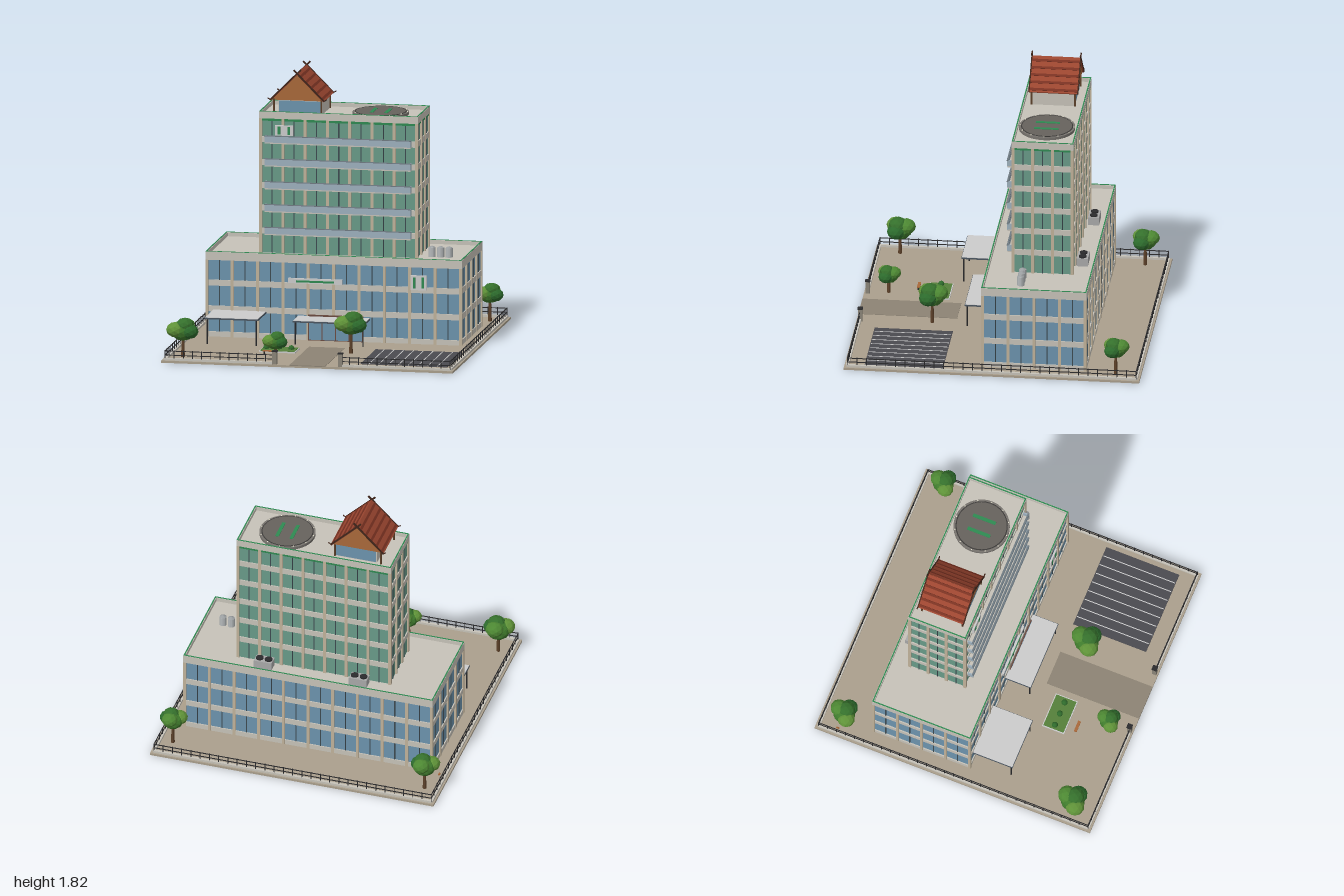
import * as THREE from 'three';

const C = { grey: 0xcccccc, wall: 0xc6c2b8, tan: 0xc0b29a, ground: 0xaa9f8c, drive: 0x8c8374, asphalt: 0x4a4a50, blue: 0x6c93ad,
  teal: 0x689a88, balcony: 0x9db0bd, green: 0x2f8a52, dark: 0x2a2a2c, roof: 0x9c4630, rib: 0x7a3222, wood: 0xa8683a, trunk: 0x5c4029 };
const mats = {};
const mat = (c) => (mats[c] ??= new THREE.MeshStandardMaterial({ color: c, flatShading: true }));

function add(parent, name, geo, color, x = 0, y = 0, z = 0) {
  const m = new THREE.Mesh(geo, mat(color));
  m.name = name;
  m.position.set(x, y, z);
  parent.add(m);
  return m;
}
// Box given by its limits on each axis
function box(parent, name, [x0, x1], [y0, y1], [z0, z1], color) {
  return add(parent, name, new THREE.BoxGeometry(x1 - x0, y1 - y0, z1 - z0), color, (x0 + x1) / 2, (y0 + y1) / 2, (z0 + z1) / 2);
}
const around = (c, w) => [c - w / 2, c + w / 2];
function group(parent, name) {
  const g = new THREE.Group();
  g.name = name;
  parent.add(g);
  return g;
}
// Thin rod between two points
function rod(parent, name, a, b, r, color) {
  const p = new THREE.Vector3(...a), q = new THREE.Vector3(...b), d = q.clone().sub(p);
  const m = add(parent, name, new THREE.CylinderGeometry(r, r, d.length(), 6), color);
  m.position.copy(p).add(q).multiplyScalar(0.5);
  m.quaternion.setFromUnitVectors(new THREE.Vector3(0, 1, 0), d.normalize());
}
// Four bars forming a rectangular ring
function ring(parent, name, [x0, x1], y, [z0, z1], t, color) {
  box(parent, name, [x0, x1], y, [z0, z0 + t], color);
  box(parent, name, [x0, x1], y, [z1 - t, z1], color);
  box(parent, name, [x0, x0 + t], y, [z0 + t, z1 - t], color);
  box(parent, name, [x1 - t, x1], y, [z0 + t, z1 - t], color);
}

// Glazed block with floor bands, columns, mullions and a parapet roof
function block(parent, name, [x0, x1], [y0, y1], [z0, z1], bands, nx, nz, glass, parapet) {
  const g = group(parent, name), i = 0.012;
  box(g, 'glazing', [x0 + i, x1 - i], [y0, y1 - 0.04], [z0 + i, z1 - i], glass);
  for (const y of bands) box(g, 'floorBand', [x0 + 0.004, x1 - 0.004], around(y, 0.04), [z0 + 0.004, z1 - 0.004], C.wall);
  const bars = (n, step, w, h, inset, color, label) => {
    for (let k = 0; k <= n; k += step) {
      if (label === 'mullion' && k % 2 === 0) continue;
      const x = x0 + 0.01 + ((x1 - x0 - 0.02) * k) / (2 * nx);
      if (k <= 2 * nx) for (const z of [z0 + 0.01, z1 - 0.01])
        box(g, label, around(x, w), h, around(z + (z === z0 + 0.01 ? inset : -inset), 0.02), color);
      const z = z0 + 0.01 + ((z1 - z0 - 0.02) * k) / (2 * nz);
      if (k <= 2 * nz) for (const xx of [x0 + 0.01, x1 - 0.01])
        box(g, label, around(xx + (xx === x0 + 0.01 ? inset : -inset), 0.02), h, around(z, w), color);
    }
  };
  bars(2 * Math.max(nx, nz), 2, 0.02, [y0, parapet], 0, C.tan, 'column');
  bars(2 * Math.max(nx, nz), 1, 0.006, [y0, parapet], 0.007, 0x3d4a50, 'mullion');
  box(g, 'roofDeck', [x0 + 0.005, x1 - 0.005], [parapet, y1 - 0.03], [z0 + 0.005, z1 - 0.005], C.wall);
  ring(g, 'parapet', [x0, x1], [parapet, y1 - 0.003], [z0, z1], 0.014, C.wall);
  ring(g, 'parapetTrim', [x0 + 0.002, x1 - 0.002], [y1 - 0.004, y1], [z0 + 0.002, z1 - 0.002], 0.008, C.green);
  return g;
}

function tree(parent, x, z, s, top) {
  const g = group(parent, 'tree');
  g.position.set(x, 0, z);
  add(g, 'trunk', new THREE.CylinderGeometry(0.009, 0.014, 0.15, 7), C.trunk, 0, 0.075, 0);
  const blobs = [[0, -0.085, 0, 0.078, 0x3f7a2c], [-0.04, -0.075, 0.03, 0.06, 0x5f9238], [0.045, -0.085, 0.02, 0.058, 0x2c6a2c],
    [0.01, -0.06, -0.04, 0.06, 0x4d8833], [0.015, -0.05, 0.01, 0.06, 0x35702c]];
  for (const [bx, by, bz, r, c] of blobs) {
    const m = add(g, 'foliage', new THREE.IcosahedronGeometry(r * s, 1), c, bx * s, top + by * s, bz * s);
    m.scale.y = 0.82;
  }
}

function canopy(parent, name, [x0, x1], [z0, z1], y) {
  const g = group(parent, name);
  box(g, 'canopySlab', [x0, x1], [y - 0.012, y], [z0, z1], C.grey);
  ring(g, 'canopyEdge', [x0 - 0.003, x1 + 0.003], [y - 0.013, y - 0.003], [z0, z1 + 0.003], 0.005, 0x4a5560);
  for (const x of [x0 + 0.012, x1 - 0.012]) rod(g, 'canopyPost', [x, 0.015, z1 - 0.012], [x, y - 0.01, z1 - 0.012], 0.005, C.dark);
}

function pavilion(parent) {
  const g = group(parent, 'roofPavilion'), cx = -0.293, z0 = -0.46, z1 = -0.13, half = 0.185, eave = 1.61, apex = 1.795;
  box(g, 'pavilionWalls', [-0.425, -0.13], [1.5, eave], [-0.435, -0.15], C.wall);
  for (const z of [-0.435, -0.15]) box(g, 'pavilionGlass', [-0.42, -0.135], [1.515, 1.605], around(z, 0.006), C.blue);
  for (const x of [-0.455, -0.13]) for (const z of [-0.44, -0.145]) box(g, 'pavilionPost', around(x, 0.011), [1.5, 1.62], around(z, 0.011), C.trunk);
  // Timber gable body under the tiles
  const s = new THREE.Shape([[-half + 0.01, eave], [half - 0.01, eave], [0, apex - 0.008]].map((p) => new THREE.Vector2(...p)));
  add(g, 'gable', new THREE.ExtrudeGeometry(s, { depth: z1 - z0 - 0.02, bevelEnabled: false }), C.wood, cx, 0, z0 + 0.01);
  const len = Math.hypot(half, apex - eave), tilt = Math.atan2(apex - eave, half);
  for (const side of [-1, 1]) {
    const slope = group(g, 'roofSlope');
    slope.position.set(cx, apex, 0);
    slope.rotation.z = -side * tilt;
    box(slope, 'roofTiles', side > 0 ? [0, len] : [-len, 0], [-0.008, 0.002], [z0, z1], C.roof);
    for (let k = 0; k < 5; k++) box(slope, 'roofRib', around(side * len * (k + 0.6) / 5, 0.017), [0, 0.006], [z0, z1], C.rib);
    // Barge boards, crossed apex finials and upturned eave tips
    for (const z of [z0, z1]) {
      box(slope, 'bargeBoard', side > 0 ? [-0.035, len] : [-len, 0.035], [-0.005, 0.006], around(z, 0.008), 0x40251a);
      const ex = cx + side * half;
      rod(g, 'eaveTip', [ex - side * 0.004, eave, z], [ex + side * 0.018, eave + 0.014, z], 0.004, 0x40251a);
    }
  }
}

// Vertical double-bar plaque facing forward
function plaque(parent, x, y, z, w, h) {
  const g = group(parent, 'wallSign');
  box(g, 'signPanel', around(x, w), around(y, h), around(z, 0.012), C.grey);
  for (const s of [-1, 1]) box(g, 'signBar', around(x + s * w * 0.27, w * 0.15), around(y, h * 0.75), around(z + 0.006, 0.006), C.green);
}

export function createModel() {
  const root = new THREE.Group();
  root.name = 'hospital';

  // Grounds
  const site = group(root, 'grounds');
  box(site, 'groundSlab', [-1, 1], [0, 0.015], [-1, 1], C.ground);
  box(site, 'driveway', [-0.12, 0.125], [0.012, 0.018], [0.33, 1], C.drive);
  box(site, 'parkingLot', [0.34, 0.935], [0.012, 0.019], [0.335, 0.865], C.asphalt);
  for (let k = 0; k < 8; k++) box(site, 'parkingLine', around(0.4 + k * 0.067, 0.006), [0.018, 0.021], [0.34, 0.86], 0xe6e6e6);
  box(site, 'flowerBedEdge', [-0.415, -0.165], [0.012, 0.024], [0.415, 0.575], C.grey);
  box(site, 'lawn', [-0.408, -0.172], [0.02, 0.028], [0.422, 0.568], 0x55803a);
  for (const x of [-0.38, -0.293, -0.207]) add(site, 'shrub', new THREE.IcosahedronGeometry(0.021, 1), 0x2f6b2c, x, 0.035, 0.495);
  box(site, 'benchSeat', [-0.375, -0.295], [0.035, 0.042], [0.63, 0.65], C.wood);
  for (const x of [-0.365, -0.305]) box(site, 'benchLeg', around(x, 0.007), [0.015, 0.036], [0.633, 0.647], C.dark);

  // Perimeter fence with an opening for the gate
  const fence = group(root, 'fence');
  const run = (alongX, a, b, c) => {
    const place = (name, p, y, w, col) => alongX ? box(fence, name, p, y, around(c, w), col) : box(fence, name, around(c, w), y, p, col);
    place('fenceCurb', [a, b], [0.012, 0.03], 0.02, C.wall);
    for (const y of [0.05, 0.078]) place('fenceRail', [a, b], around(y, 0.005), 0.005, C.dark);
    const n = Math.round((b - a) / 0.065);
    for (let k = 0; k <= n; k++) place('fencePost', around(a + ((b - a) * k) / n, 0.005), [0.02, 0.084], 0.005, C.dark);
  };
  run(true, -0.978, 0.978, -0.978);
  run(false, -0.978, 0.978, -0.978);
  run(false, -0.978, 0.978, 0.978);
  run(true, -0.978, -0.225, 0.978);
  run(true, 0.225, 0.978, 0.978);
  for (const x of [-0.225, 0.225]) {
    box(fence, 'gatePost', around(x, 0.03), [0.01, 0.1], around(0.975, 0.03), 0x8a8478);
    box(fence, 'gatePostCap', around(x, 0.036), [0.1, 0.108], around(0.975, 0.036), C.dark);
  }

  // Podium and entrance
  const podium = block(root, 'podium', [-0.88, 0.88], [0.015, 0.6], [-0.632, 0.085], [0.03, 0.207, 0.384], 10, 4, C.blue, 0.54);
  box(podium, 'entranceFrame', [-0.175, 0.205], [0.015, 0.19], [0.08, 0.09], 0x6b4a40);
  for (let k = 0; k < 4; k++) box(podium, 'entranceDoor', around(-0.125 + k * 0.093, 0.085), [0.02, 0.18], [0.085, 0.093], C.blue);
  box(podium, 'nameBoard', [-0.31, 0.06], [0.403, 0.437], [0.08, 0.094], C.grey);
  box(podium, 'nameStripe', [-0.255, 0.005], [0.411, 0.424], [0.09, 0.098], C.green);
  plaque(podium, 0.585, 0.437, 0.09, 0.11, 0.1);
  canopy(root, 'sideCanopy', [-0.825, -0.465], [0.08, 0.365], 0.2);
  canopy(root, 'entranceCanopy', [-0.242, 0.247], [0.08, 0.262], 0.18);

  // Tower with balconies
  const floors = [0, 1, 2, 3, 4].map((k) => 0.72 + k * 0.1565);
  const tower = block(root, 'tower', [-0.545, 0.545], [0.565, 1.54], [-0.505, -0.085], floors, 7, 3, C.teal, 1.49);
  ring(tower, 'greenBand', [-0.54, 0.54], [1.474, 1.49], [-0.502, -0.088], 0.02, C.green);
  for (const y of floors) {
    box(tower, 'balconyFloor', [-0.5, 0.5], [y - 0.022, y - 0.012], [-0.09, -0.052], C.wall);
    box(tower, 'balconyRail', [-0.5, 0.5], [y - 0.014, y + 0.03], [-0.058, -0.05], C.balcony);
    for (const x of [-0.496, 0.496]) box(tower, 'balconyEnd', around(x, 0.008), [y - 0.014, y + 0.03], [-0.09, -0.055], C.balcony);
    box(tower, 'balconyHandrail', [-0.502, 0.502], [y + 0.028, y + 0.033], [-0.06, -0.048], 0x6f7a82);
  }
  plaque(tower, -0.372, 1.413, -0.078, 0.125, 0.07);
  pavilion(root);

  // Helipad
  const pad = group(root, 'helipad');
  pad.position.set(0.25, 0, -0.293);
  add(pad, 'padDisc', new THREE.CylinderGeometry(0.19, 0.19, 0.024, 32), 0x77736e, 0, 1.517, 0);
  add(pad, 'padSurface', new THREE.CylinderGeometry(0.172, 0.172, 0.004, 32), 0x66625d, 0, 1.53, 0);
  add(pad, 'padRing', new THREE.TorusGeometry(0.172, 0.004, 5, 32), 0x3f3d3b, 0, 1.53, 0).rotation.x = Math.PI / 2;
  for (const x of [-0.05, 0.05]) box(pad, 'touchdownBar', around(x, 0.024), [1.531, 1.535], [-0.082, 0.082], C.green);
  for (let k = 0; k < 12; k++) {
    const a = (k * Math.PI) / 6;
    add(pad, 'padLight', new THREE.SphereGeometry(0.005, 6, 4), 0xe8e4d0, 0.182 * Math.cos(a), 1.531, 0.182 * Math.sin(a));
  }

  // Podium roof equipment
  const plant = group(root, 'roofEquipment');
  for (const x of [-0.335, 0.335]) {
    box(plant, 'coolingUnit', around(x, 0.125), [0.568, 0.627], [-0.585, -0.51], 0xa8a8a8);
    for (const s of [-0.031, 0.031]) add(plant, 'fan', new THREE.CylinderGeometry(0.026, 0.026, 0.012, 14), C.dark, x + s, 0.63, -0.547);
  }
  for (const x of [0.625, 0.685, 0.743]) {
    add(plant, 'waterTank', new THREE.CylinderGeometry(0.024, 0.024, 0.065, 14), 0xb4b8ba, x, 0.602, -0.17);
    add(plant, 'tankCap', new THREE.ConeGeometry(0.024, 0.012, 14), 0x9a9ea0, x, 0.64, -0.17);
  }

  // Trees
  for (const [x, z, s, top] of [[-0.885, -0.83, 1, 0.28], [0.89, -0.83, 0.95, 0.28], [-0.885, 0.83, 1.08, 0.285], [-0.25, 0.835, 0.85, 0.215], [0.2, 0.49, 1.1, 0.305]])
    tree(root, x, z, s, top);
  for (const z of [-0.84, -0.83]) add(root, 'fruit', new THREE.SphereGeometry(0.007, 6, 5), C.wood, -0.99, 0.155, z);
  return root;
}
